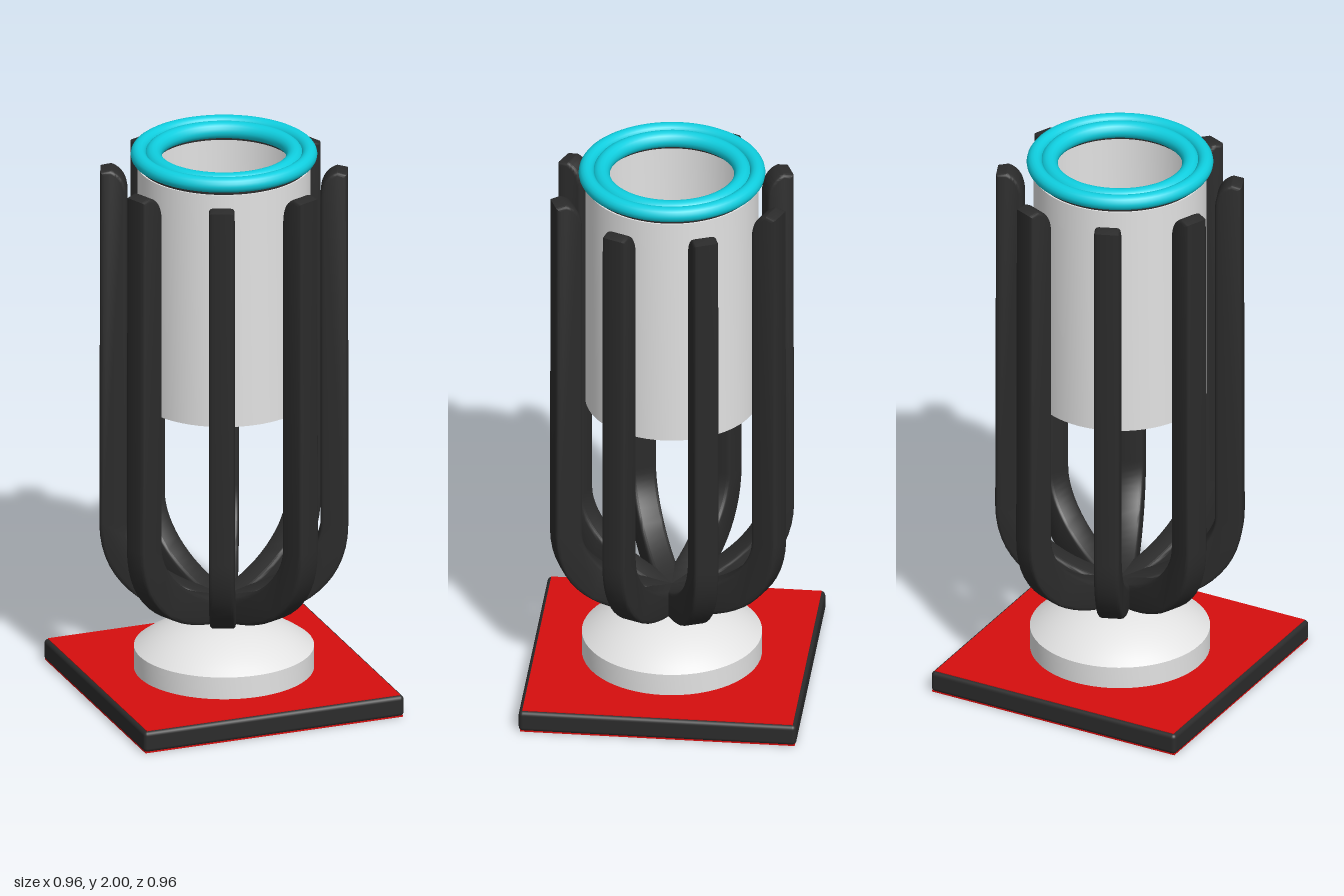
import * as THREE from 'three';
import { toCreasedNormals } from 'three/addons/utils/BufferGeometryUtils.js';
import { RoundedBoxGeometry } from 'three/addons/geometries/RoundedBoxGeometry.js';

const paint = (name, color) => {
  const m = new THREE.MeshStandardMaterial({ color });
  m.name = name;
  return m;
};

export function createModel() {
  const black = paint('black', 0x2b2b2b);
  const red = paint('red', 0xd60e0e);
  const white = paint('white', 0xe2e2e2);
  const cyan = paint('cyan', 0x0fcfe0);

  const model = new THREE.Group();
  const add = (name, geometry, material, x = 0, y = 0, z = 0, parent = model) => {
    const mesh = new THREE.Mesh(geometry, material);
    mesh.name = name;
    mesh.position.set(x, y, z);
    parent.add(mesh);
    return mesh;
  };
  const lathe = (points) => toCreasedNormals(
    new THREE.LatheGeometry(points.map(([r, y]) => new THREE.Vector2(r, y)), 64), 0.5);

  // Square base with red plates above and below
  add('baseSlab', new RoundedBoxGeometry(0.96, 0.076, 0.96, 3, 0.015), black, 0, 0.04, 0);
  add('baseTopPlate', new THREE.BoxGeometry(0.935, 0.006, 0.935), red, 0, 0.077, 0);
  add('baseBottomPlate', new THREE.BoxGeometry(0.95, 0.006, 0.95), red, 0, 0.003, 0);

  // Domed pedestal: straight rim, then a spherical cap
  const dome = [[0.31, 0.075], [0.31, 0.16]];
  const capRadius = (0.31 ** 2 + 0.105 ** 2) / (2 * 0.105);
  for (let i = 1; i <= 12; i++) {
    const r = 0.31 * (1 - i / 12);
    dome.push([r, 0.265 - capRadius + Math.sqrt(capRadius ** 2 - r * r)]);
  }
  add('pedestalDome', lathe(dome), white);

  // Hollow cup with a drain hole in its floor
  add('cup', lathe([
    [0.037, 1.08], [0.298, 1.08], [0.298, 1.935], [0.275, 1.935],
    [0.275, 1.1], [0.037, 1.1], [0.037, 1.08],
  ]), white);

  // Dark spots on the cup floor
  const spots = new THREE.Group();
  spots.name = 'floorSpots';
  model.add(spots);
  const spotGeometry = new THREE.CylinderGeometry(0.02, 0.02, 0.004, 16);
  for (const [a, b] of [[0.105, 0.105], [0.105, 0.178], [0.178, 0.105]]) {
    for (const sx of [-1, 1]) {
      for (const sz of [-1, 1]) add('floorSpot', spotGeometry, black, sx * a, 1.101, sz * b, spots);
    }
  }

  // Dark collar and the double ring on the rim
  add('collar', lathe([
    [0.24, 1.93], [0.292, 1.93], [0.292, 1.96], [0.24, 1.96], [0.24, 1.93],
  ]), black);
  for (const [name, radius, tube, y] of [
    ['outerRing', 0.294, 0.027, 1.973], ['innerRing', 0.244, 0.03, 1.967],
  ]) {
    add(name, new THREE.TorusGeometry(radius, tube, 16, 80).rotateX(Math.PI / 2), cyan, 0, y, 0);
  }

  // Curved ribs: a J-shaped outline extruded to the rib width
  const bevel = 0.012;
  const width = 0.088;
  const outline = new THREE.Shape();
  outline.moveTo(0, 0.277);
  outline.bezierCurveTo(0.22, 0.277, 0.416, 0.38, 0.416, 0.62);
  outline.lineTo(0.413, 1.905);
  outline.lineTo(0.39, 1.91);
  outline.quadraticCurveTo(0.347, 1.895, 0.344, 1.83);
  outline.lineTo(0.344, 0.62);
  outline.bezierCurveTo(0.344, 0.5, 0.2, 0.37, 0, 0.335);
  const ribGeometry = toCreasedNormals(new THREE.ExtrudeGeometry(outline, {
    depth: width - 2 * bevel, curveSegments: 16,
    bevelEnabled: true, bevelThickness: bevel, bevelSize: bevel, bevelSegments: 3,
  }).translate(0, 0, -(width / 2 - bevel)), 0.6);
  const ribs = new THREE.Group();
  ribs.name = 'ribs';
  model.add(ribs);
  for (let i = 0; i < 8; i++) {
    add('rib', ribGeometry, black, 0, 0, 0, ribs).rotation.y = (i + 0.5) * Math.PI / 4;
  }

  return model;
}
